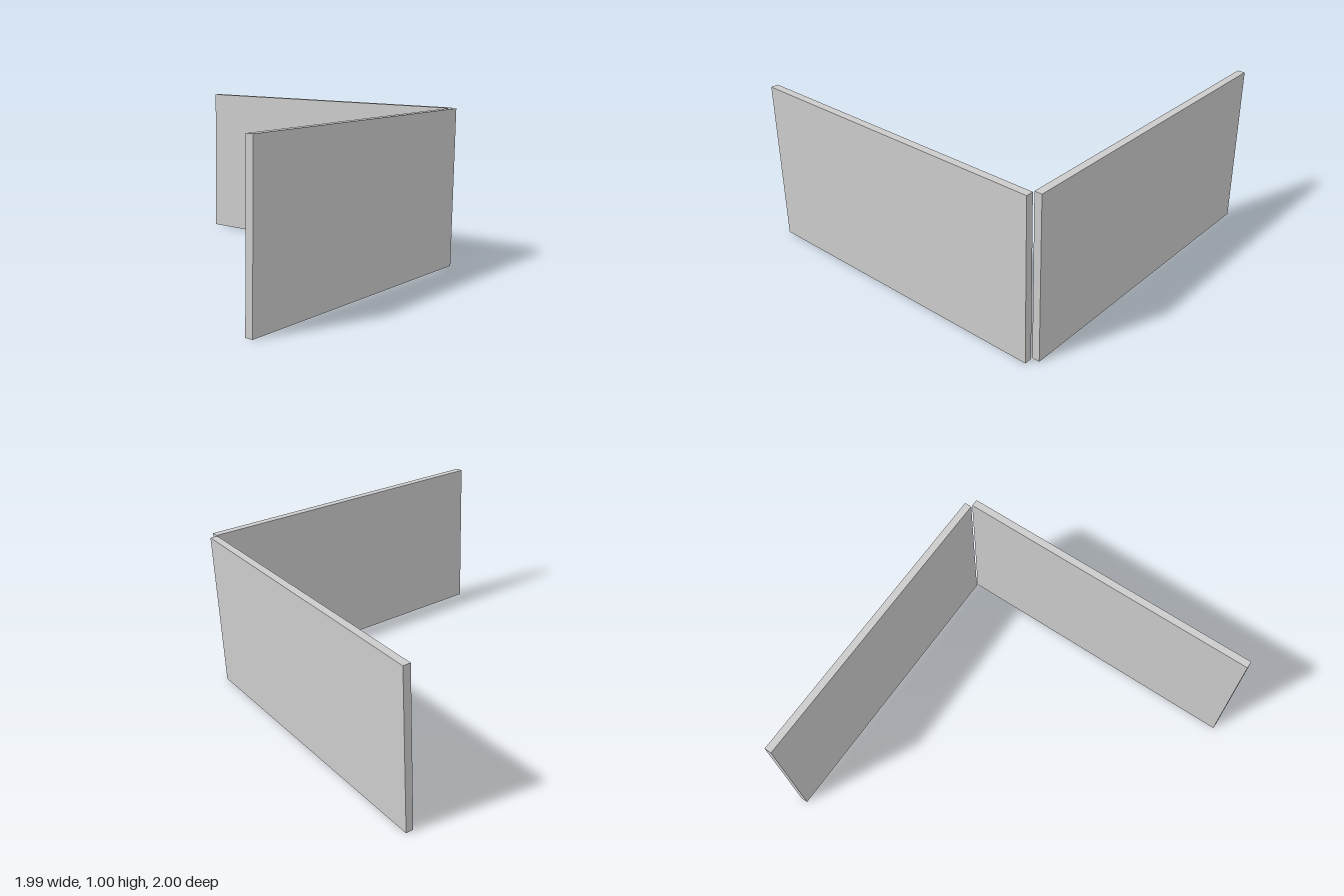
import * as THREE from 'three';

const LENGTH = 1.943, HEIGHT = 0.995, THICKNESS = 0.046;
const HALF_X = (LENGTH + THICKNESS) / 2; // overall half width; half depth is 1

export function createModel() {
  const group = new THREE.Group();
  group.name = 'cornerScreen';
  const material = new THREE.MeshStandardMaterial({ color: 0xcccccc, flatShading: true });
  const geometry = new THREE.BoxGeometry(LENGTH, HEIGHT, THICKNESS);

  const addPanel = (name, x, z, turn) => {
    const panel = new THREE.Mesh(geometry, material);
    panel.name = name;
    panel.position.set(x, HEIGHT / 2, z);
    panel.rotation.y = turn;
    group.add(panel);
  };

  // Two identical panels at a right angle, with a narrow gap at the corner
  addPanel('frontPanel', -HALF_X + LENGTH / 2, 1 - THICKNESS / 2, 0);
  addPanel('leftPanel', HALF_X - THICKNESS / 2, -1 + LENGTH / 2, Math.PI / 2);

  return group;
}
